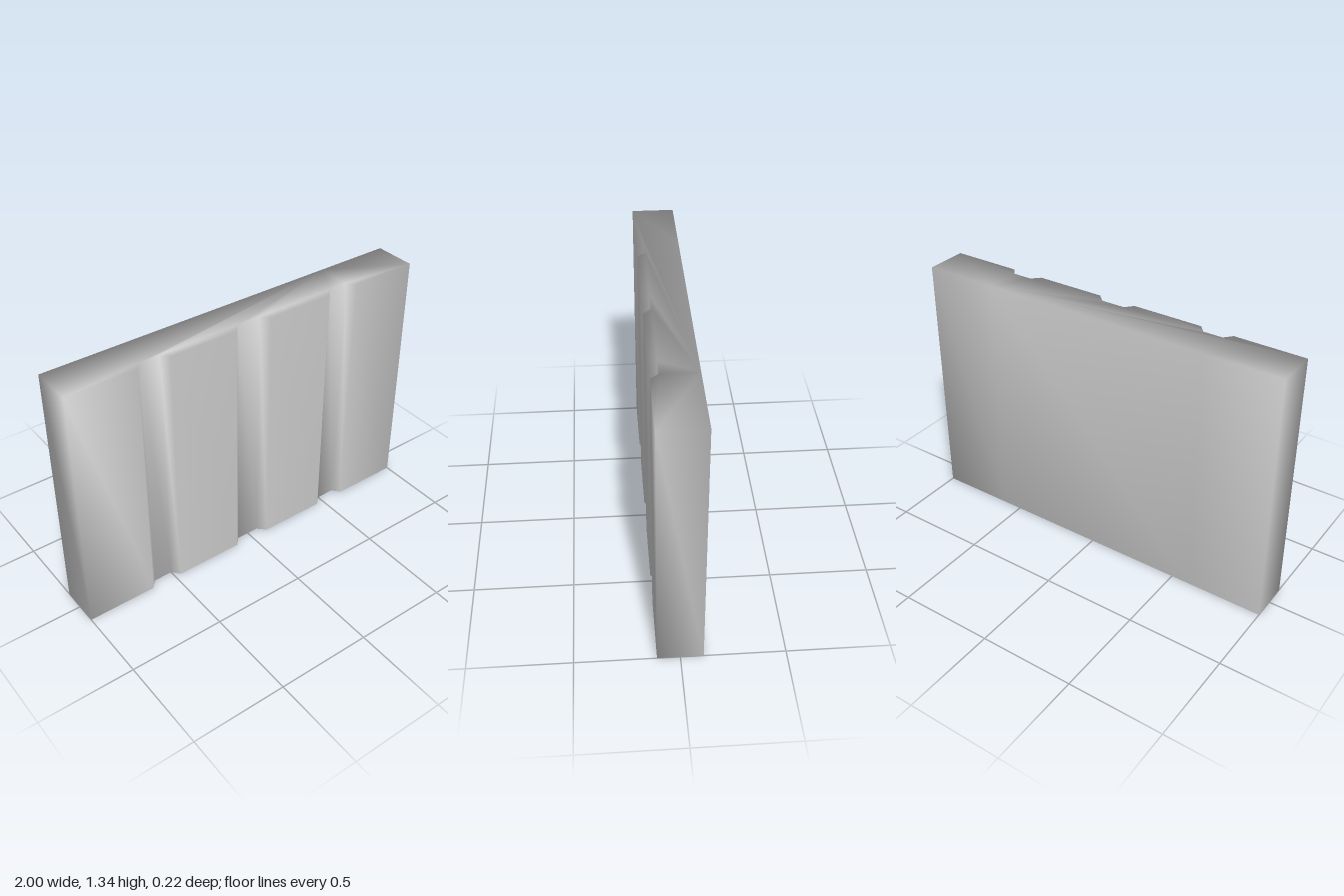
import * as THREE from 'three';
import { mergeVertices } from 'three/addons/utils/BufferGeometryUtils.js';

const HEIGHT = 1.335, HALF_DEPTH = 0.11, GROOVE_Z = 0.07;

// Grooves: outer left, inner left, inner right, outer right
const GROOVES = [
  [-0.635, -0.6, -0.5, -0.465],
  [-0.1, -0.065, 0.06, 0.1],
  [0.46, 0.5, 0.6, 0.635],
];

export function createModel() {
  const group = new THREE.Group();
  group.name = 'groovedPanel';

  // Plan outline of the slab, drawn with shape y = -z
  const outline = [[-1, -HALF_DEPTH]];
  for (const [a, b, c, d] of GROOVES) {
    outline.push([a, -HALF_DEPTH], [b, -GROOVE_Z], [c, -GROOVE_Z], [d, -HALF_DEPTH]);
  }
  outline.push([1, -HALF_DEPTH], [1, HALF_DEPTH], [0.6, HALF_DEPTH], [-0.6, HALF_DEPTH], [-1, HALF_DEPTH]);
  const shape = new THREE.Shape(outline.map(([x, y]) => new THREE.Vector2(x, y)));

  // Extrude upwards, then share corners for soft shading across the edges
  let geometry = new THREE.ExtrudeGeometry(shape, { depth: HEIGHT, bevelEnabled: false });
  geometry.rotateX(-Math.PI / 2);
  geometry.deleteAttribute('normal');
  geometry.deleteAttribute('uv');
  geometry = mergeVertices(geometry, 1e-4);
  geometry.computeVertexNormals();

  const slab = new THREE.Mesh(geometry, new THREE.MeshStandardMaterial({ color: 0xcccccc }));
  slab.name = 'slab';
  group.add(slab);
  return group;
}
